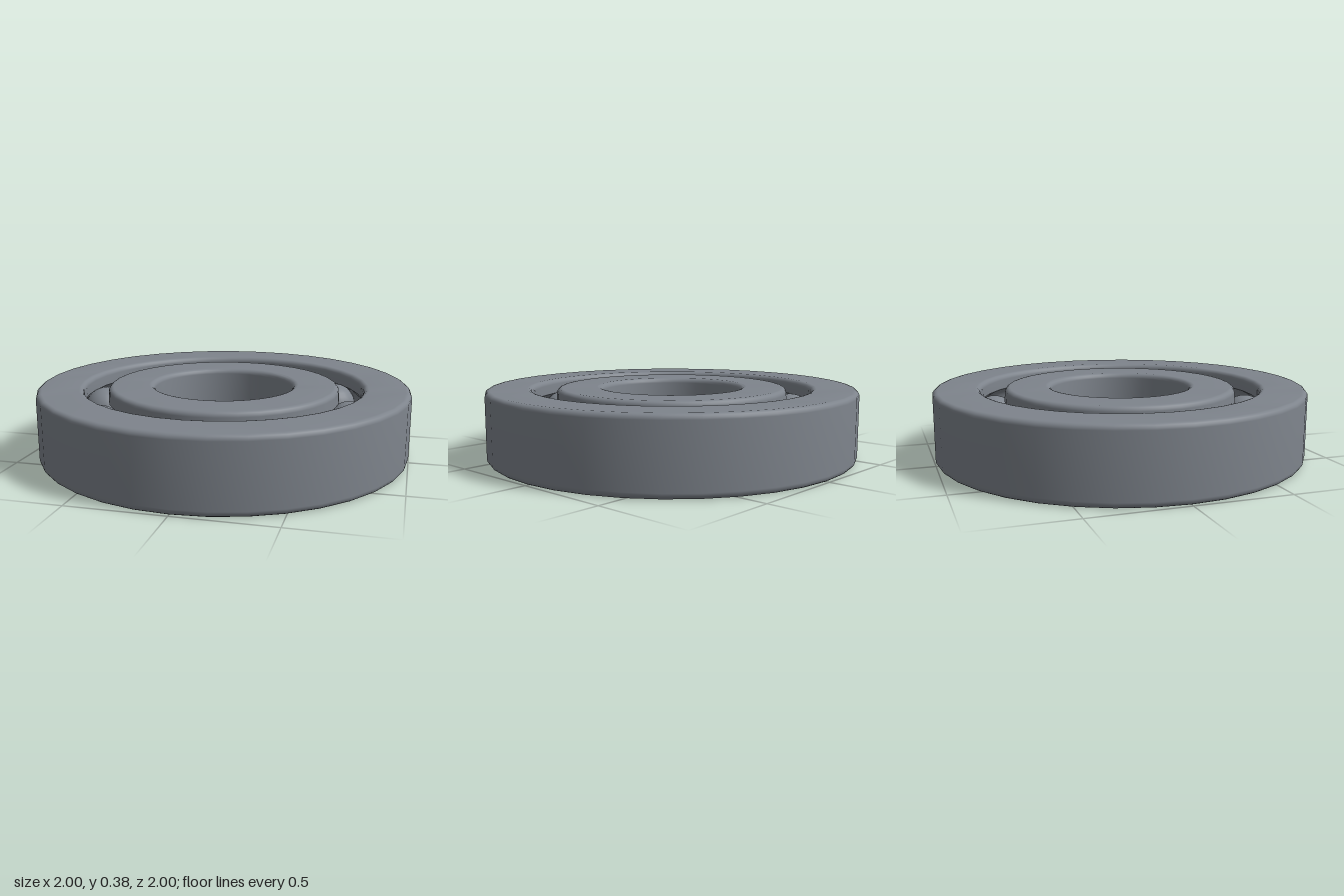
import * as THREE from 'three';
import { toCreasedNormals } from 'three/addons/utils/BufferGeometryUtils.js';

const HEIGHT = 0.375, FILLET = 0.027, SEGMENTS = 36;
const PITCH = 0.6875, BALL = 0.125, MID = HEIGHT / 2;

// Points along an arc, angles in degrees
function arc(cx, cy, r, from, to, steps) {
  return Array.from({ length: steps + 1 }, (_, i) => {
    const a = THREE.MathUtils.degToRad(from + (to - from) * i / steps);
    return new THREE.Vector2(cx + r * Math.cos(a), cy + r * Math.sin(a));
  });
}

// Rounded corner with a short flat lead-in and lead-out, to keep the faces flat-shaded
function corner(cx, cy, from) {
  const pts = arc(cx, cy, FILLET, from, from + 90, 4);
  const a = THREE.MathUtils.degToRad(from), e = 0.004;
  const before = pts[0].clone().add(new THREE.Vector2(Math.sin(a) * e, -Math.cos(a) * e));
  const after = pts[4].clone().add(new THREE.Vector2(-Math.cos(a) * e, -Math.sin(a) * e));
  return [before, ...pts, after];
}

// Race ring: rounded rectangle section with a ball groove on one wall
function raceRing(name, inner, outer, grooveOutside, material) {
  const f = FILLET;
  const points = [
    ...corner(inner + f, f, 180),
    ...corner(outer - f, f, 270),
    ...(grooveOutside ? arc(PITCH, MID, BALL, 240, 120, 12) : []),
    ...corner(outer - f, HEIGHT - f, 0),
    ...corner(inner + f, HEIGHT - f, 90),
    ...(grooveOutside ? [] : arc(PITCH, MID, BALL, 60, -60, 12)),
  ];
  points.push(points[0].clone());
  const mesh = new THREE.Mesh(toCreasedNormals(new THREE.LatheGeometry(points, SEGMENTS), 0.7), material);
  mesh.name = name;
  return mesh;
}

export function createModel() {
  const group = new THREE.Group();
  group.name = 'ballBearing';
  const steel = new THREE.MeshStandardMaterial({ color: 0x7e848c });

  group.add(raceRing('outerRing', 0.75, 1, false, steel));
  group.add(raceRing('innerRing', 0.375, 0.622, true, steel));

  // Ten balls evenly spaced between the rings
  const balls = new THREE.Group();
  balls.name = 'balls';
  const ballGeometry = new THREE.SphereGeometry(BALL, 24, 16);
  for (let i = 0; i < 10; i++) {
    const a = i * Math.PI / 5;
    const ball = new THREE.Mesh(ballGeometry, steel);
    ball.name = 'ball';
    ball.position.set(PITCH * Math.cos(a), MID, PITCH * Math.sin(a));
    balls.add(ball);
  }
  group.add(balls);
  return group;
}
